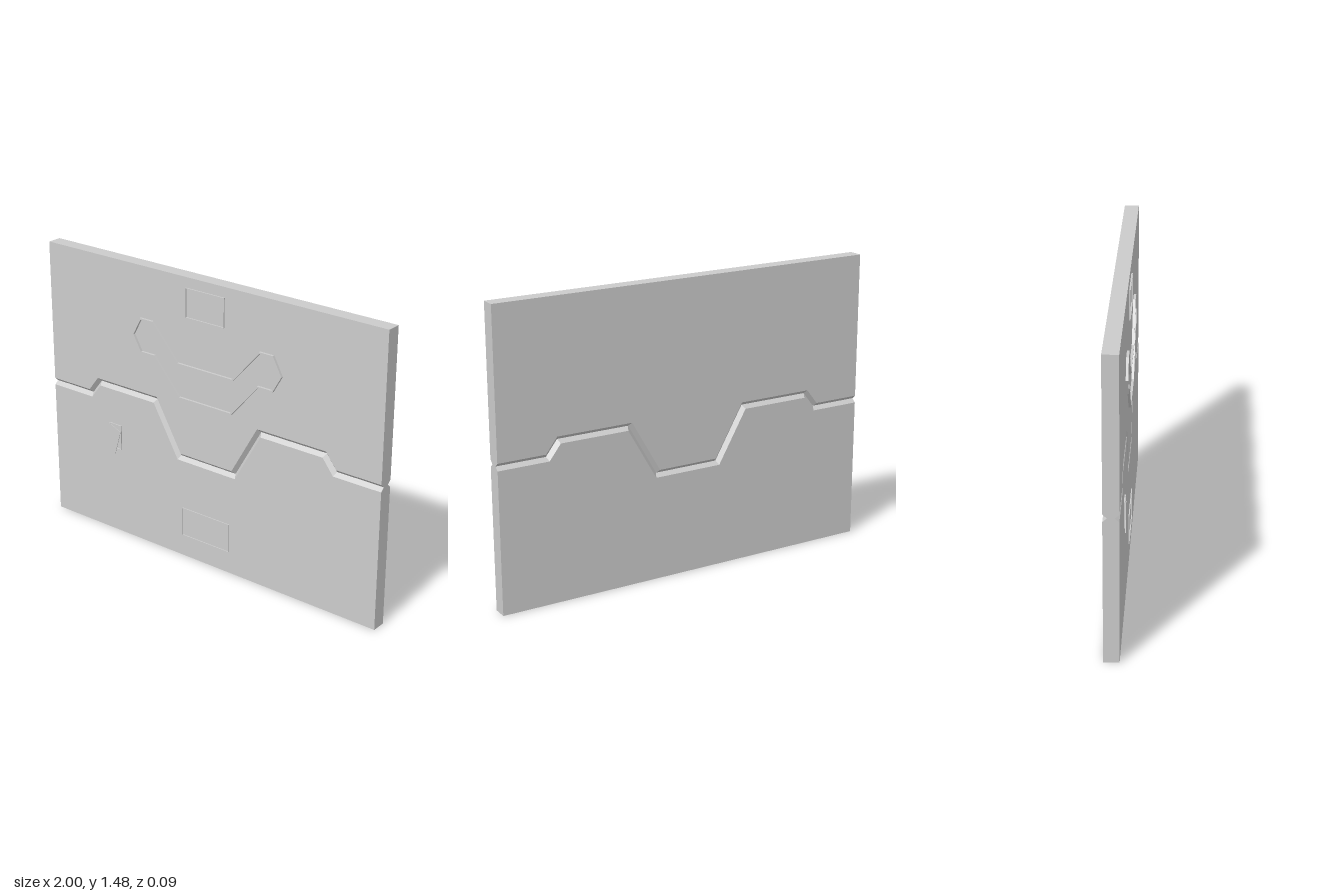
import * as THREE from 'three';

const FRONT = 0.031, BACK = -0.042, HEIGHT = 1.476, BEVEL = 0.018;
const material = new THREE.MeshStandardMaterial({ color: 0xcccccc, flatShading: true });

function mesh(name, geometry) {
  const m = new THREE.Mesh(geometry, material);
  m.name = name;
  return m;
}

// Mitred parallel offset of a polyline, to its left for positive distances.
function offset(points, d, closed) {
  const n = points.length;
  return points.map((p, i) => {
    const a = points[closed ? (i + n - 1) % n : Math.max(i - 1, 0)];
    const b = points[closed ? (i + 1) % n : Math.min(i + 1, n - 1)];
    const normals = [[a, p], [p, b]].filter(([s, e]) => s !== e).map(([s, e]) => {
      const l = Math.hypot(e[0] - s[0], e[1] - s[1]);
      return [-(e[1] - s[1]) / l, (e[0] - s[0]) / l];
    });
    const u = normals[0], v = normals[normals.length - 1];
    const k = d / (1 + u[0] * v[0] + u[1] * v[1]);
    return [p[0] + (u[0] + v[0]) * k, p[1] + (u[1] + v[1]) * k];
  });
}

// Mirrored seam line between the two door halves.
const rightSeam = [[0.168, 0.54], [0.318, 0.802], [0.69, 0.802], [0.749, 0.726], [1, 0.726]];
const seam = [...rightSeam.map(([x, y]) => [-x, y]).reverse(), ...rightSeam];

// One half: bevelled hexagonal sections lofted along the seam. side is +1 for upper, -1 for lower.
function doorHalf(side) {
  const edge = offset(seam, side * BEVEL, false);
  const outer = side > 0 ? HEIGHT : 0;
  const positions = [], index = [];
  seam.forEach(([x, y], i) => {
    const [ex, ey] = edge[i];
    positions.push(
      ex, outer, FRONT, ex, ey, FRONT, x, y, FRONT - 0.02,
      x, y, BACK + 0.02, ex, ey, BACK, ex, outer, BACK);
  });
  const tri = (a, b, c) => (side > 0 ? index.push(a, b, c) : index.push(a, c, b));
  for (let i = 0; i < seam.length - 1; i++) {
    for (let j = 0; j < 6; j++) {
      const a = i * 6 + j, b = i * 6 + (j + 1) % 6;
      tri(a, b, b + 6);
      tri(a, b + 6, a + 6);
    }
  }
  const last = (seam.length - 1) * 6;
  for (let j = 1; j < 5; j++) {
    tri(0, j + 1, j);
    tri(last, last + j, last + j + 1);
  }
  const g = new THREE.BufferGeometry();
  g.setAttribute('position', new THREE.Float32BufferAttribute(positions, 3));
  g.setIndex(index);
  const flat = g.toNonIndexed();
  flat.computeVertexNormals();
  return flat;
}

// Raised outline of a counter-clockwise polygon standing on the front face.
function rim(points, width, height) {
  const toVectors = (list) => list.map(([x, y]) => new THREE.Vector2(x, y));
  const shape = new THREE.Shape(toVectors(points));
  shape.holes.push(new THREE.Path(toVectors(offset(points, width, true))));
  const g = new THREE.ExtrudeGeometry(shape, { depth: height, bevelEnabled: false });
  return g.translate(0, 0, FRONT);
}

const rectangle = (x0, x1, y0, y1) => [[x0, y0], [x1, y0], [x1, y1], [x0, y1]];

// Thin plate from a polygon, placed between two depths.
function plate(points, z0, z1) {
  const shape = new THREE.Shape(points.map(([x, y]) => new THREE.Vector2(x, y)));
  return new THREE.ExtrudeGeometry(shape, { depth: z1 - z0, bevelEnabled: false }).translate(0, 0, z0);
}

export function createModel() {
  const group = new THREE.Group();
  group.name = 'splitDoor';

  group.add(mesh('upperDoor', doorHalf(1)), mesh('lowerDoor', doorHalf(-1)));

  // Curved window surround, mirrored about the centre.
  const rightSide = [[0.16, 0.855], [0.315, 1.033], [0.4, 1.033], [0.45, 1.12],
    [0.4, 1.212], [0.32, 1.212], [0.165, 1.037]];
  const surround = [...rightSide, ...rightSide.map(([x, y]) => [-x, y]).reverse()];
  group.add(mesh('windowSurround', rim(surround, 0.008, 0.012)));

  // Rectangular panel frames.
  group.add(mesh('upperPanelFrame', rim(rectangle(-0.117, 0.113, 1.277, 1.424), 0.002, 0.007)));
  group.add(mesh('lowerPanelFrame', rim(rectangle(-0.148, 0.146, 0.115, 0.267), 0.002, 0.005)));

  // Small hatch with its cover hanging askew.
  group.add(mesh('hatchFrame', rim(rectangle(-0.62, -0.545, 0.467, 0.6), 0.002, 0.006)));
  const cover = [[-0.663, 0.468], [-0.583, 0.438], [-0.545, 0.567], [-0.62, 0.6]];
  group.add(mesh('hatchCover', plate(cover, 0.039, 0.042)));

  return group;
}
